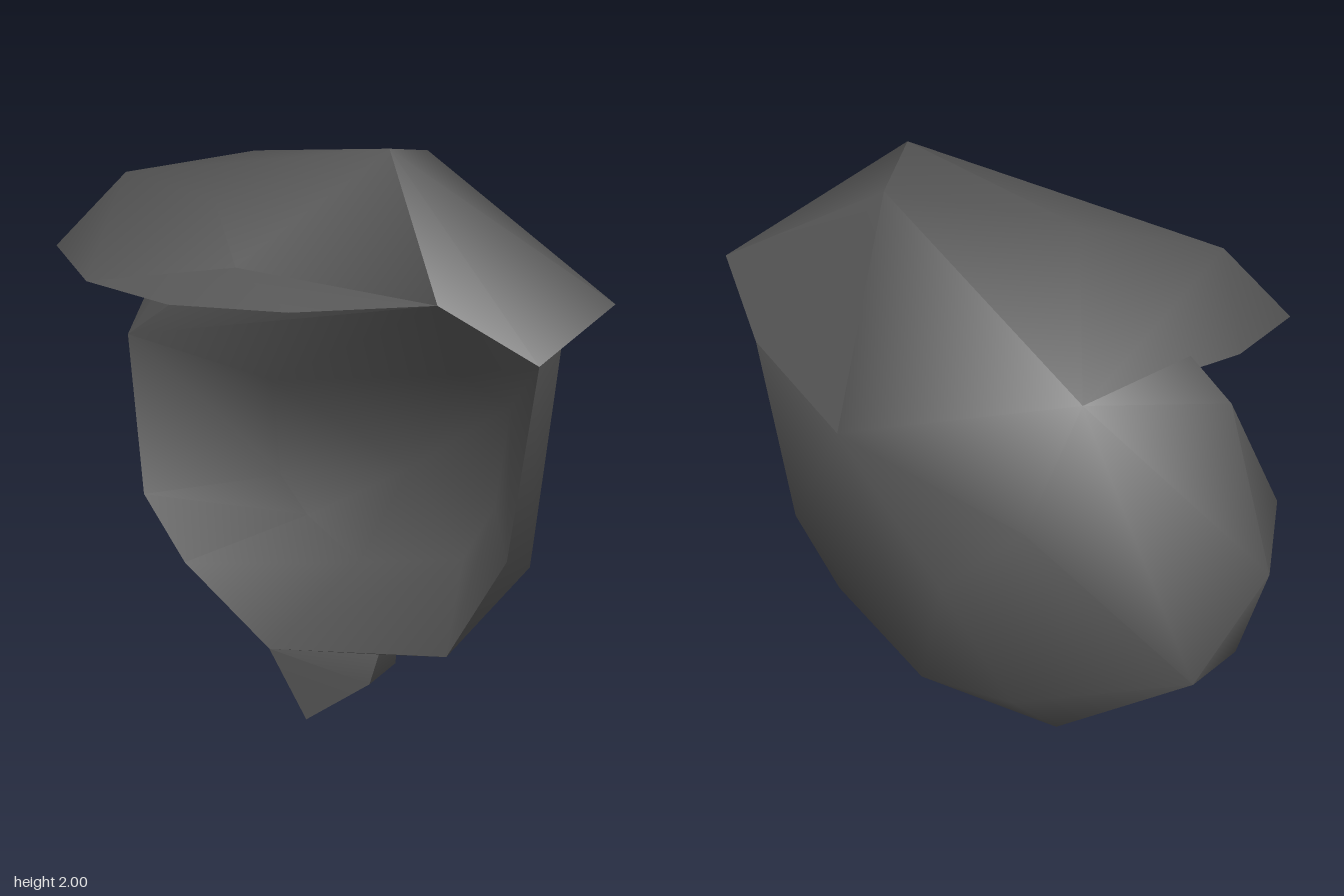
import * as THREE from 'three';
import { ConvexGeometry } from 'three/addons/geometries/ConvexGeometry.js';
import { toCreasedNormals } from 'three/addons/utils/BufferGeometryUtils.js';

const V = (x, y, z) => new THREE.Vector3(x, y, z);

// corners shared by neighbouring masses
const peak = V(0.29, 2.00, 0.52);
const crownRight = V(0.35, 1.95, 0.10);
const crownBack = V(-0.26, 1.91, -0.14);
const brimLeft = V(-0.64, 1.58, 0.52);
const brimTop = V(-0.13, 1.67, 0.68);
const brimRight = V(0.46, 1.59, 0.72);
const frontShoulder = V(0.75, 1.43, 0.73);
const sideShoulder = V(0.80, 1.42, 0.14);
const backShoulder = V(0.49, 1.32, -0.37);
const neckBack = V(-0.25, 1.52, -0.61);
const footFront = V(0.26, 0.36, 0.41);
const footSide = V(0.29, 0.33, 0.17);
const footLeft = V(-0.19, 0.17, 0.04);

// overhanging upper mass
const crownPoints = [
  peak, crownRight, crownBack, brimLeft, brimTop, brimRight, neckBack,
  V(-0.95, 1.58, -0.06), V(-0.71, 1.83, -0.12), V(-0.25, 1.83, 0.45), V(-0.74, 1.58, -0.37),
];

// thin ledge along its front
const brimPoints = [brimLeft, V(-0.30, 1.58, 0.80), V(0.06, 1.58, 0.84), brimRight, brimTop];

// pointed corner above the shoulder
const spurPoints = [
  V(0.95, 1.58, 0.56), brimRight, frontShoulder, sideShoulder, backShoulder, peak, crownRight,
];

// diagonal slab carrying the crown
const bodyPoints = [
  peak, crownRight, crownBack, brimRight,
  frontShoulder, sideShoulder, backShoulder, V(-0.70, 1.48, -0.51), neckBack, V(-0.25, 1.40, -0.60),
  V(0.68, 0.84, 0.73), V(0.50, 0.47, 0.62), footFront,
  V(0.73, 0.66, 0.31), V(0.57, 0.42, 0.19), footSide, footLeft,
  V(-0.57, 0.37, -0.22), V(-0.79, 0.55, -0.44), V(-0.79, 0.88, -0.48),
  V(-0.86, 1.16, -0.53), V(-0.82, 1.00, -0.70), V(-0.59, 0.70, -0.84),
  V(-0.08, 1.16, -0.73), V(0.17, 0.93, -0.66), V(-0.05, 0.53, -0.69),
  V(-0.20, 0.31, -0.52), V(0.25, 0.39, -0.34),
];

// pointed tip it stands on
const footPoints = [
  footFront, V(0.23, 0.25, 0.41), footSide, V(0.28, 0.21, 0.155),
  V(-0.02, 0, 0.22), footLeft, V(0.12, 0.30, 0.10),
];

// convex mass whose broad front below the crown is hollowed into a dish
function dishedGeometry(points, facing, depth) {
  const position = new ConvexGeometry(points).getAttribute('position');
  const kept = [];
  const edges = new Map();
  const key = (a, b) => [...a.toArray(), ...b.toArray()].map((n) => n.toFixed(3)).join();
  for (let i = 0; i < position.count; i += 3) {
    const corners = [0, 1, 2].map((k) => new THREE.Vector3().fromBufferAttribute(position, i + k));
    const normal = new THREE.Triangle(...corners).getNormal(new THREE.Vector3());
    if (normal.dot(facing) < 0.72 || corners.some((p) => p.y > 1.6)) {
      kept.push(...corners);
      continue;
    }
    // edges between two removed triangles cancel out, leaving the rim
    corners.forEach((a, k) => {
      const b = corners[(k + 1) % 3];
      if (!edges.delete(key(b, a))) edges.set(key(a, b), [a, b]);
    });
  }
  const rim = [...edges.values()];
  const centre = new THREE.Vector3();
  rim.forEach(([a]) => centre.addScaledVector(a, 1 / rim.length));
  centre.addScaledVector(facing, -depth);
  const inner = (p) => p.clone().lerp(centre, 0.42).addScaledVector(facing, -depth * 0.33);
  for (const [a, b] of rim) {
    const c = inner(a), d = inner(b);
    kept.push(a, b, d, a, d, c, c, d, centre);
  }
  return new THREE.BufferGeometry().setFromPoints(kept);
}

export function createModel() {
  const stone = new THREE.MeshStandardMaterial({ color: 0x545454 });
  stone.name = 'darkStone';

  const group = new THREE.Group();
  group.name = 'rock';
  const parts = {
    rockCrown: new ConvexGeometry(crownPoints),
    rockBrim: new ConvexGeometry(brimPoints),
    rockSpur: new ConvexGeometry(spurPoints),
    rockBody: dishedGeometry(bodyPoints, V(-0.63, 0, 0.77).normalize(), 0.45),
    rockFoot: new ConvexGeometry(footPoints),
  };
  for (const [name, geometry] of Object.entries(parts)) {
    // soft facets, sharp only at the strong ridges
    const mesh = new THREE.Mesh(toCreasedNormals(geometry, 1.2), stone);
    mesh.name = name;
    group.add(mesh);
  }
  return group;
}
